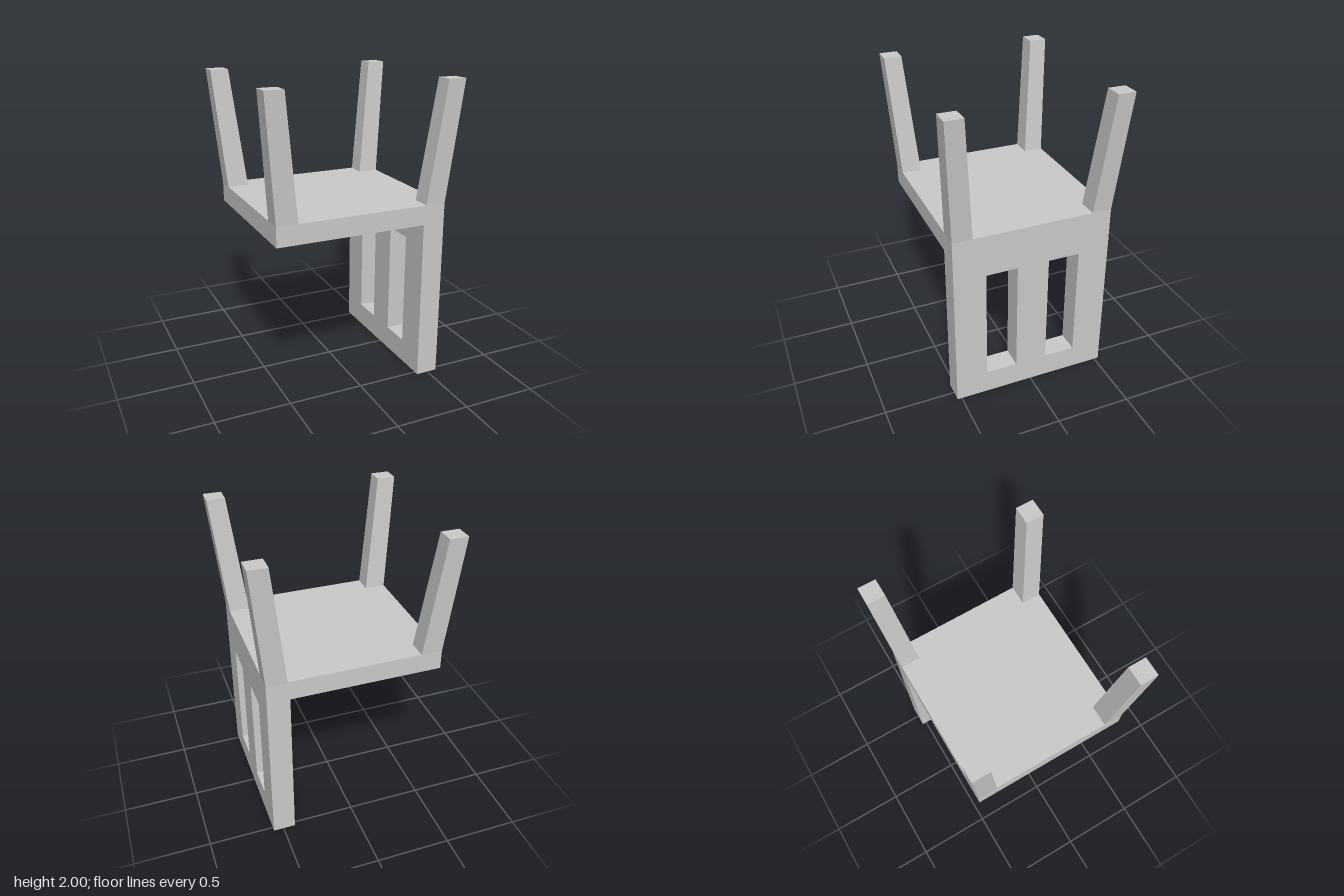
import * as THREE from 'three';

const SEAT_TOP = 1.21;

export function createModel() {
  const model = new THREE.Group();
  const material = new THREE.MeshStandardMaterial({ color: 0xcccccc, flatShading: true });

  const add = (name, geometry) => {
    const mesh = new THREE.Mesh(geometry, material);
    mesh.name = name;
    model.add(mesh);
    return mesh;
  };

  // The chair rests upside down on the top edge of its backrest.
  const seat = add('seat', new THREE.BoxGeometry(1.0, 0.13, 1.06));
  seat.position.set(-0.08, SEAT_TOP - 0.065, 0);

  // Backrest panel with two upright slots
  const rectangle = (Type, u0, v0, u1, v1) => new Type([
    new THREE.Vector2(u0, v0), new THREE.Vector2(u1, v0),
    new THREE.Vector2(u1, v1), new THREE.Vector2(u0, v1),
  ]);
  const panel = rectangle(THREE.Shape, -0.53, 0, 0.53, SEAT_TOP);
  for (const u of [-0.317, 0.107]) {
    panel.holes.push(rectangle(THREE.Path, u, 0.16, u + 0.21, 0.93));
  }
  const backrest = add('backrest', new THREE.ExtrudeGeometry(panel, { depth: 0.148, bevelEnabled: false })
    .rotateY(Math.PI / 2));
  backrest.position.x = 0.42;

  // Splayed, tapering leg: a box whose ends are mapped to two rectangles
  const leg = (name, base, tip) => {
    const geometry = new THREE.BoxGeometry(1, 1, 1);
    const p = geometry.attributes.position;
    for (let i = 0; i < p.count; i++) {
      const upper = p.getY(i) > 0;
      const [x0, x1, z0, z1] = upper ? tip : base;
      p.setXYZ(i, p.getX(i) > 0 ? x1 : x0, upper ? 2 : SEAT_TOP, p.getZ(i) > 0 ? z1 : z0);
    }
    geometry.computeVertexNormals();
    add(name, geometry);
  };
  for (const [end, z, tipZ] of [['Front', [0.4, 0.53], [0.46, 0.575]], ['Back', [-0.53, -0.4], [-0.58, -0.465]]]) {
    leg('left' + end + 'Leg', [0.432, 0.568, ...z], [0.525, 0.645, ...tipZ]);
    leg('right' + end + 'Leg', [-0.58, -0.44, ...z], [-0.648, -0.527, ...tipZ]);
  }

  return model;
}
